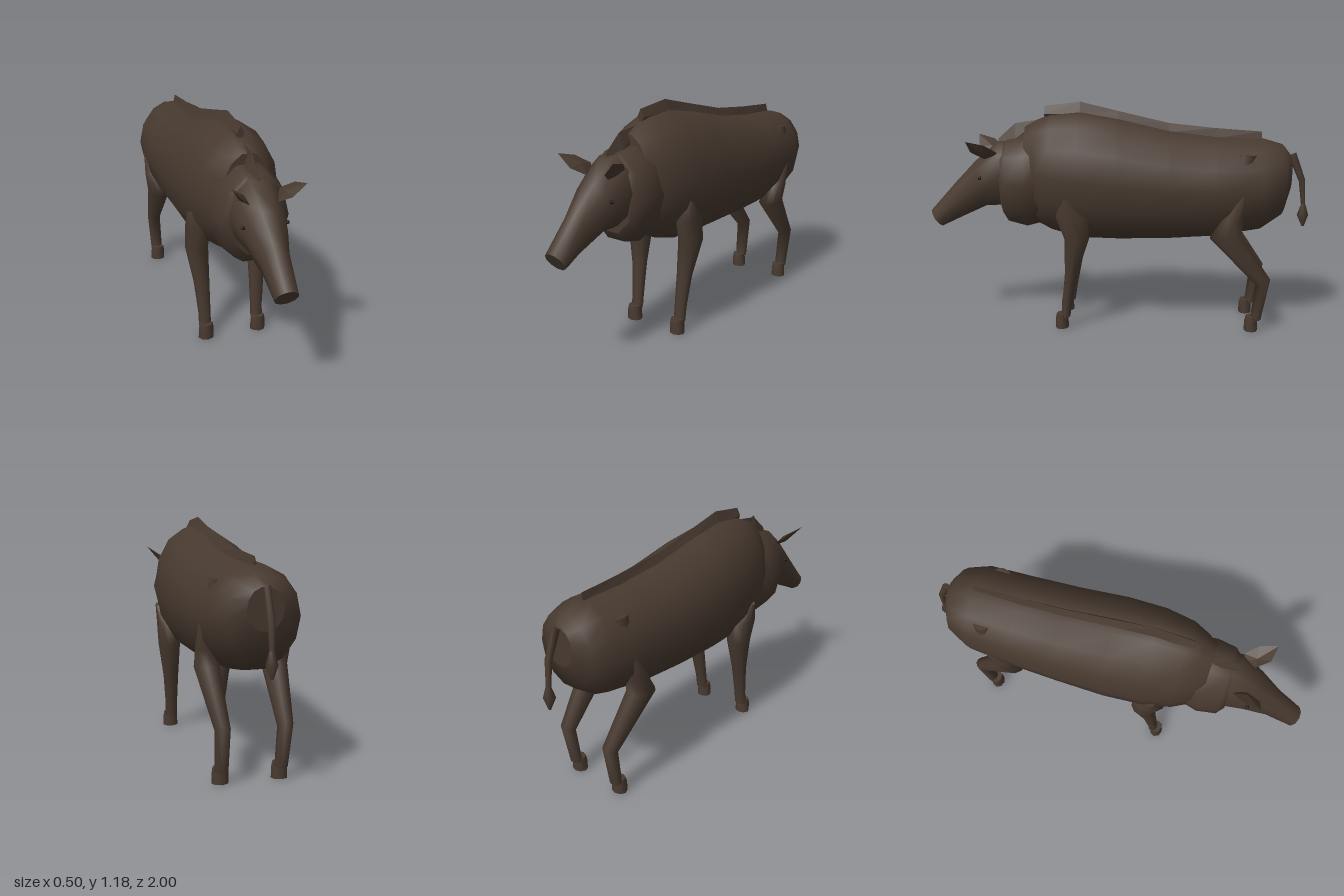
import * as THREE from 'three';
import { ConvexGeometry } from 'three/addons/geometries/ConvexGeometry.js';

const hide = new THREE.MeshStandardMaterial({ color: 0x47392f });
hide.name = 'brown hide';
const dark = new THREE.MeshStandardMaterial({ color: 0x1c1613 });
dark.name = 'dark eye';

// Skin over elliptical rings. Each ring is [y, z of one edge, y, z of the opposite edge, centre x, half width].
function loft(rings, sides) {
  const pos = [], idx = [];
  const grow = sides % 4 === 2 ? 1 / Math.cos(Math.PI / sides) : 1;
  const addRing = ([ay, az, by, bz, cx, w]) => {
    const start = pos.length / 3;
    for (let j = 0; j < sides; j++) {
      const t = (j / sides) * Math.PI * 2 + Math.PI / 2;
      const c = (Math.cos(t) * grow) / 2;
      pos.push(cx + w * Math.sin(t), (ay + by) / 2 + (ay - by) * c, (az + bz) / 2 + (az - bz) * c);
    }
    return start;
  };
  const starts = rings.map(addRing);
  for (let i = 0; i + 1 < starts.length; i++) {
    for (let j = 0; j < sides; j++) {
      const k = (j + 1) % sides;
      const a = starts[i] + j, b = starts[i] + k, c = starts[i + 1] + j, d = starts[i + 1] + k;
      idx.push(a, b, c, b, d, c);
    }
  }
  // flat end caps with their own vertices
  const first = addRing(rings[0]), last = addRing(rings[rings.length - 1]);
  for (let j = 1; j + 1 < sides; j++) {
    idx.push(first, first + j + 1, first + j, last, last + j, last + j + 1);
  }
  const g = new THREE.BufferGeometry();
  g.setAttribute('position', new THREE.Float32BufferAttribute(pos, 3));
  g.setIndex(idx);
  g.computeVertexNormals();
  return g;
}

function flat(geometry) {
  const g = geometry.toNonIndexed();
  g.computeVertexNormals();
  return g;
}

// Upright ring from z, bottom, top and half width
const slice = (z, bottom, top, w) => [top, z, bottom, z, 0, w];
// Ridge ring: z, crest height, back height, half width
const ridge = (z, crest, base, w) => [crest, z, 2 * base - crest, z, 0, w];

export function createModel() {
  const model = new THREE.Group();
  model.name = 'wild boar';
  const add = (name, geometry, material = hide) => {
    const mesh = new THREE.Mesh(geometry, material);
    mesh.name = name;
    model.add(mesh);
    return mesh;
  };

  add('body', loft([
    slice(0.485, 0.62, 1.05, 0.13),
    slice(0.43, 0.55, 1.08, 0.17),
    slice(0.35, 0.51, 1.11, 0.21),
    slice(0.2, 0.47, 1.125, 0.238),
    slice(0, 0.465, 1.09, 0.25),
    slice(-0.26, 0.47, 1.03, 0.243),
    slice(-0.5, 0.485, 1.0, 0.235),
    slice(-0.74, 0.525, 0.99, 0.22),
    slice(-0.85, 0.6, 0.96, 0.17),
    slice(-0.89, 0.72, 0.91, 0.085),
  ], 14));

  add('neck', loft([
    slice(0.61, 0.6, 0.96, 0.135),
    slice(0.58, 0.555, 0.98, 0.17),
    slice(0.48, 0.53, 1.0, 0.185),
    slice(0.38, 0.555, 1.0, 0.16),
  ], 10));

  add('head', loft([
    [0.6, 1.0, 0.515, 0.945, 0, 0.057],
    [0.755, 0.86, 0.575, 0.82, 0, 0.068],
    [0.87, 0.75, 0.632, 0.7, 0, 0.105],
    [0.97, 0.63, 0.64, 0.59, 0, 0.135],
    [0.98, 0.5, 0.63, 0.45, 0, 0.13],
  ], 10));

  // bristle ridges
  add('mane', flat(loft([
    ridge(0.385, 1.155, 1.115, 0.02),
    ridge(0.2, 1.178, 1.118, 0.026),
    ridge(0, 1.13, 1.083, 0.025),
    ridge(-0.26, 1.07, 1.024, 0.022),
    ridge(-0.5, 1.045, 0.995, 0.017),
    ridge(-0.74, 1.028, 0.985, 0.01),
  ], 4)));
  add('forelock', flat(loft([
    ridge(0.63, 0.985, 0.965, 0.006),
    ridge(0.54, 1.065, 0.985, 0.026),
    ridge(0.41, 1.085, 1.0, 0.012),
  ], 4)));

  add('tail', loft([
    [0.92, -0.92, 0.9, -0.88, 0, 0.015],
    [0.78, -0.972, 0.77, -0.94, 0, 0.018],
    [0.64, -0.98, 0.64, -0.958, 0, 0.013],
  ], 8));
  add('tailTuft', loft([
    [0.655, -0.978, 0.655, -0.96, 0, 0.012],
    [0.59, -0.998, 0.59, -0.938, 0, 0.029],
    [0.53, -0.978, 0.53, -0.966, 0, 0.006],
  ], 8));

  // leaf outline of an ear: distance out from the head, z
  const earOutline = [[0, 0.69], [0.02, 0.64], [0.06, 0.622], [0.12, 0.68], [0.15, 0.768], [0.06, 0.757]];

  for (const [side, s] of [['left', 1], ['right', -1]]) {
    const mirror = (rings) => rings.map(([ay, az, by, bz, x, w]) => [ay, az, by, bz, x * s, w]);

    add(side + 'FrontLeg', loft(mirror([
      [0.06, 0.297, 0.06, 0.25, 0.143, 0.033],
      [0.13, 0.29, 0.13, 0.24, 0.143, 0.033],
      [0.3, 0.273, 0.3, 0.208, 0.15, 0.042],
      [0.49, 0.27, 0.49, 0.145, 0.165, 0.061],
      [0.61, 0.315, 0.6, 0.152, 0.17, 0.058],
      [0.71, 0.275, 0.69, 0.24, 0.185, 0.045],
    ]), 10));

    add(side + 'HindLeg', loft(mirror([
      [0.06, -0.697, 0.06, -0.75, 0.143, 0.033],
      [0.25, -0.72, 0.28, -0.79, 0.148, 0.038],
      [0.5, -0.475, 0.52, -0.63, 0.165, 0.06],
      [0.61, -0.54, 0.6, -0.64, 0.172, 0.058],
      [0.73, -0.61, 0.71, -0.65, 0.185, 0.04],
      [0.93, -0.61, 0.925, -0.7, 0.142, 0.035],
    ]), 10));

    for (const [name, z] of [['FrontHoof', 0.293], ['HindHoof', -0.7]]) {
      add(side + name, loft([
        [0, z + 0.035, 0, z - 0.035, s * 0.143, 0.041],
        [0.05, z + 0.034, 0.05, z - 0.034, s * 0.143, 0.04],
        [0.077, z + 0.028, 0.077, z - 0.028, s * 0.143, 0.036],
      ], 8));
    }

    const earPoint = (d, z, lift = 0) =>
      new THREE.Vector3(s * (0.065 + 0.7 * d + 0.7 * lift), 0.882 + 0.7 * d - 0.7 * lift, z);
    const points = earOutline.map(([d, z]) => earPoint(d, z));
    points.push(earPoint(0.06, 0.69, 0.016), earPoint(0.06, 0.69, -0.016));
    add(side + 'Ear', new ConvexGeometry(points));

    add(side + 'Eye', new THREE.SphereGeometry(0.009, 8, 6), dark).position.set(s * 0.106, 0.79, 0.715);
  }

  return model;
}
